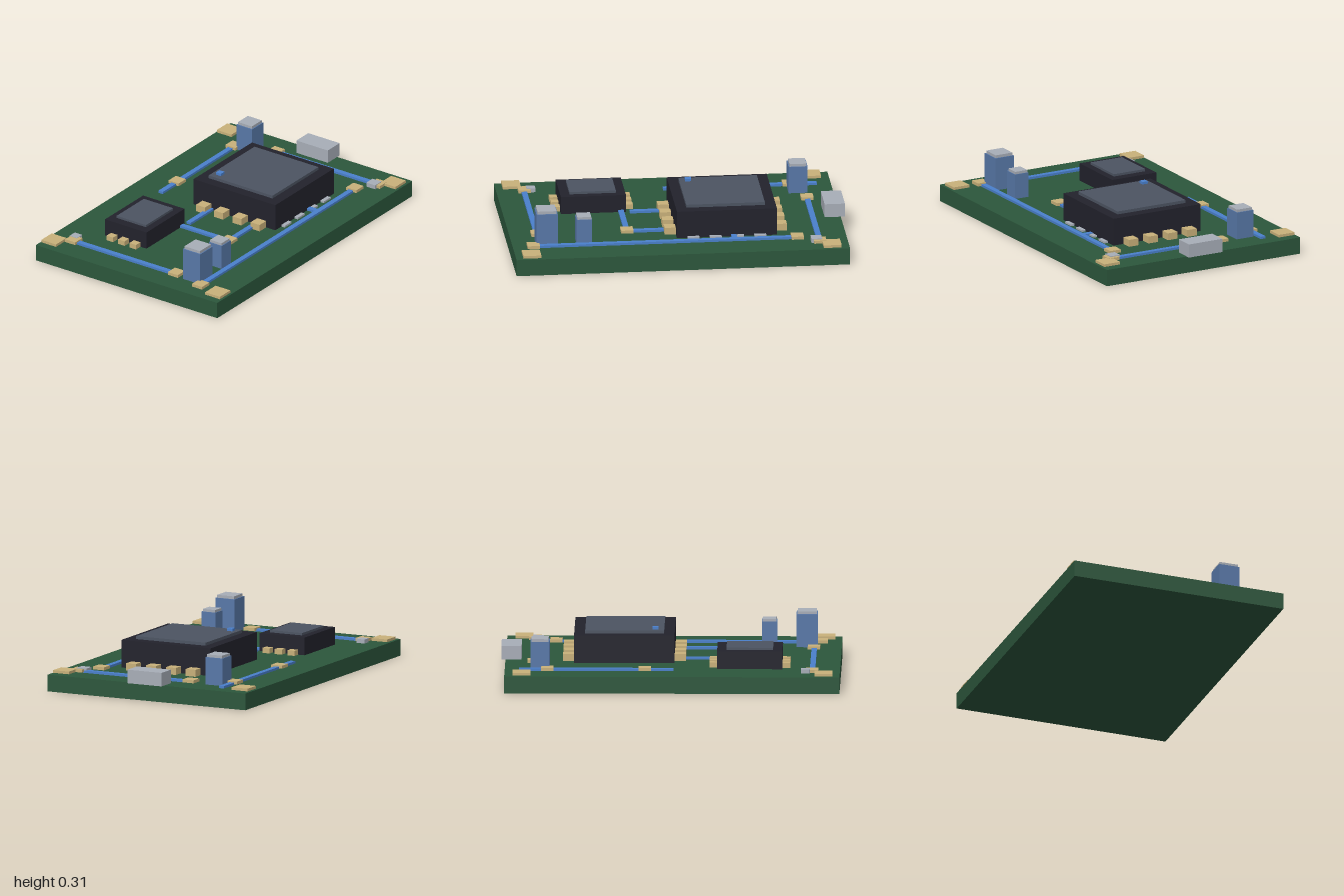
import * as THREE from 'three';

const mat = (name, color) => {
  const m = new THREE.MeshStandardMaterial({ color });
  m.name = name;
  return m;
};

export function createModel() {
  const model = new THREE.Group();
  model.name = 'circuitBoard';

  const green = mat('boardGreen', 0x2c573c);
  const gold = mat('contactGold', 0xc9b17a);
  const black = mat('chipBlack', 0x22222c);
  const slate = mat('lidSlate', 0x4c5462);
  const blue = mat('traceBlue', 0x4a80cc);
  const steelBlue = mat('capacitorBlue', 0x5878a8);
  const silver = mat('metalSilver', 0xa8aeb8);

  // Box given by its extents on each axis
  function box(name, material, x0, x1, y0, y1, z0, z1, parent = model) {
    const mesh = new THREE.Mesh(new THREE.BoxGeometry(x1 - x0, y1 - y0, z1 - z0), material);
    mesh.position.set((x0 + x1) / 2, (y0 + y1) / 2, (z0 + z1) / 2);
    mesh.name = name;
    parent.add(mesh);
    return mesh;
  }
  // Square block given by its centre and width
  const block = (name, material, x, z, w, y0, y1, parent) =>
    box(name, material, x - w / 2, x + w / 2, y0, y1, z - w / 2, z + w / 2, parent);

  const top = 0.1;
  box('board', green, -1, 0.975, 0, top, -0.658, 0.655);

  // Corner mounting pads
  for (const x of [-0.905, 0.873])
    for (const z of [-0.595, 0.591]) block('cornerPad', gold, x, z, 0.106, 0.104, 0.12);

  // Traces, as start and end points
  const traces = [
    [-0.839, -0.5, -0.839, 0.243],
    [-0.88, 0.447, 0.683, 0.447],
    [0.808, -0.21, 0.808, 0.53],
    [-0.02, -0.455, 0.89, -0.455],
    [-0.305, -0.14, -0.305, 0.243],
    [-0.305, 0.243, 0.0, 0.243],
    [-0.255, -0.085, 0.0, -0.085],
    [0.314, 0.36, 0.314, 0.447],
  ];
  const h = 0.016;
  for (const [x0, z0, x1, z1] of traces) {
    const dx = x0 === x1 ? h : 0;
    const dz = z0 === z1 ? h : 0;
    box('trace', blue, x0 - dx, x1 + dx, top, 0.114, z0 - dz, z1 + dz);
  }

  // Solder pads on the traces
  const pads = [
    [-0.837, -0.5], [-0.837, 0.243], [-0.88, 0.449], [0.683, 0.449], [0.808, -0.21],
    [0.808, 0.53], [0.149, -0.455], [0.723, -0.455], [-0.305, 0.243],
  ];
  for (const [x, z] of pads) block('solderPad', gold, x, z, 0.073, 0.104, 0.122);

  // Chip with an inset lid and pins along both sides
  function chip(name, body, lid, pinLength, pinWidth, pinTop, pinZs) {
    const g = new THREE.Group();
    g.name = name;
    model.add(g);
    const [x0, x1, y1, z0, z1] = body;
    box('chipBody', black, x0, x1, top, y1, z0, z1, g);
    box('chipLid', slate, lid[0], lid[1], y1, lid[2], lid[3], lid[4], g);
    for (const z of pinZs) {
      const za = z - pinWidth / 2, zb = z + pinWidth / 2;
      box('leftPin', gold, x1, x1 + pinLength, top, pinTop, za, zb, g);
      box('rightPin', gold, x0 - pinLength, x0, top, pinTop, za, zb, g);
    }
    return g;
  }
  const main = chip('mainChip', [-0.022, 0.57, 0.265, -0.215, 0.377],
    [0.04, 0.505, 0.283, -0.15, 0.312], 0.066, 0.065, 0.142, [-0.118, 0.013, 0.145, 0.278]);
  chip('smallChip', [-0.66, -0.275, 0.206, -0.4, -0.1],
    [-0.605, -0.33, 0.22, -0.355, -0.143], 0.046, 0.047, 0.13, [-0.333, -0.249, -0.167]);

  // Orientation mark and flat front contacts of the main chip
  block('chipMark', blue, 0.092, -0.103, 0.036, 0.27, 0.298, main);
  for (let i = 0; i < 4; i++) {
    const x = 0.074 + i * 0.132;
    box('frontContact', silver, x - 0.035, x + 0.035, top, 0.111, 0.36, 0.402, main);
  }

  // Capacitors with metal caps: x, z, width, body top, cap top
  for (const [x, z, w, bodyTop, capTop] of [
    [-0.796, 0.368, 0.126, 0.297, 0.314],
    [-0.574, 0.37, 0.092, 0.25, 0.265],
    [0.767, -0.371, 0.113, 0.264, 0.28],
  ]) {
    const g = new THREE.Group();
    g.name = 'capacitor';
    model.add(g);
    block('capacitorBody', steelBlue, x, z, w, top, bodyTop, g);
    block('capacitorCap', silver, x, z, w * 0.89, bodyTop, capTop, g);
  }

  // Edge connector and small surface parts
  box('edgeConnector', silver, 0.88, 1, top, 0.181, -0.115, 0.112);
  block('smallComponent', silver, -0.797, -0.513, 0.053, top, 0.124);
  block('smallComponent', silver, 0.79, 0.51, 0.064, top, 0.126);

  return model;
}
